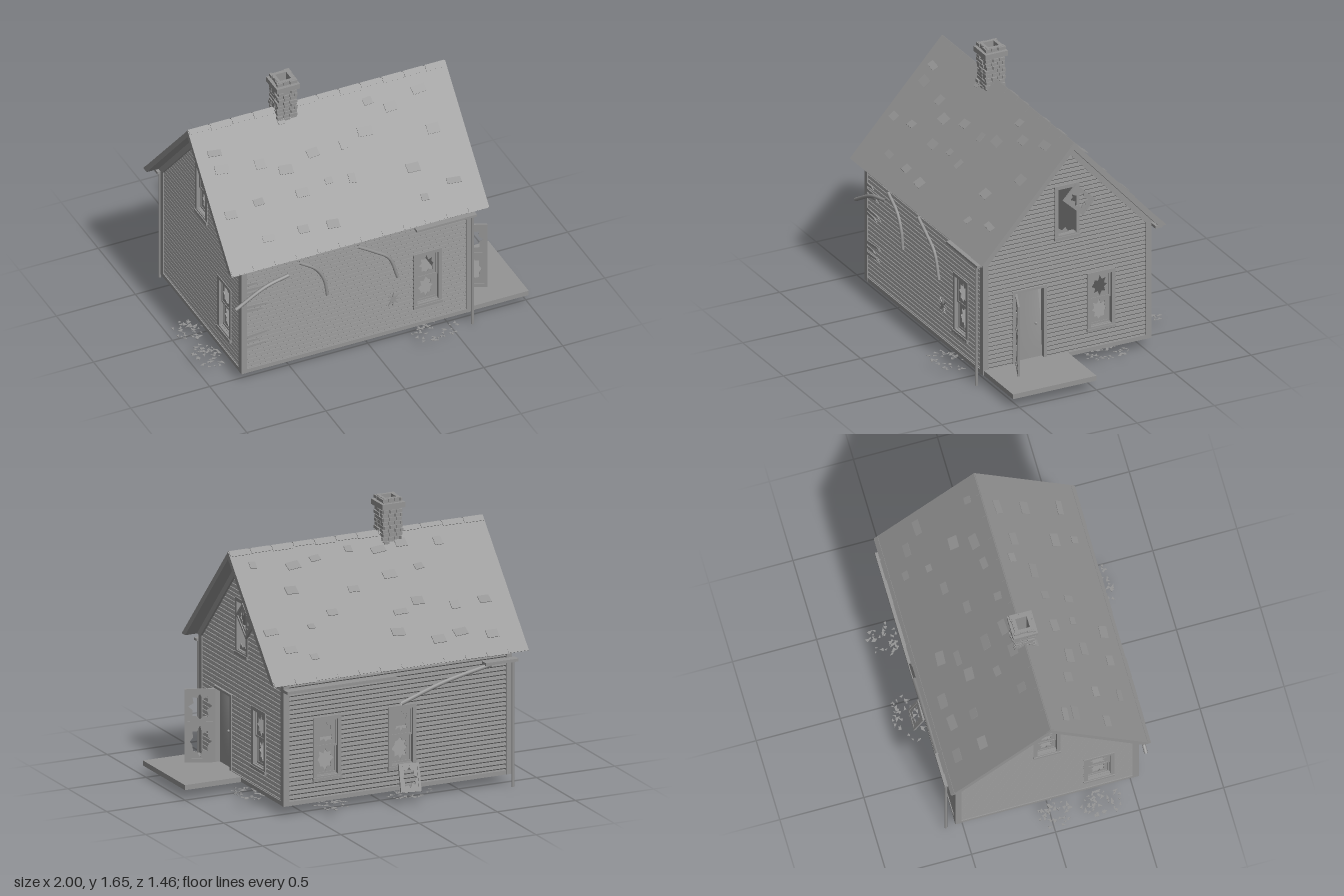
import * as THREE from 'three';
import { mergeGeometries } from 'three/addons/utils/BufferGeometryUtils.js';

const grey = new THREE.MeshStandardMaterial({ color: 0x949494, side: THREE.DoubleSide });
grey.name = 'weathered grey';

let seed = 11;
const rnd = (a = 0, b = 1) => {
  seed = (seed * 16807) % 2147483647;
  return a + (b - a) * seed / 2147483647;
};
const mesh = (name, geo, parent) => {
  const m = new THREE.Mesh(geo, grey);
  m.name = name;
  parent.add(m);
  return m;
};
const box = (x0, x1, y0, y1, z0, z1) =>
  new THREE.BoxGeometry(x1 - x0, y1 - y0, z1 - z0).translate((x0 + x1) / 2, (y0 + y1) / 2, (z0 + z1) / 2);
const poly = (pts) => new THREE.Shape(pts.map((p) => new THREE.Vector2(p[0], p[1])));
const rect = (x0, x1, y0, y1) => poly([[x0, y0], [x1, y0], [x1, y1], [x0, y1]]);
const plate = (shape, holes, z, depth) => {
  shape.holes.push(...holes);
  return new THREE.ExtrudeGeometry(shape, { depth, bevelEnabled: false }).translate(0, 0, z);
};
const frame = (x0, x1, y0, y1, w, z, depth) =>
  plate(rect(x0, x1, y0, y1), [rect(x0 + w, x1 - w, y0 + w, y1 - w)], z, depth);

// Glass pane with a jagged hole
function brokenPane(x0, x1, y0, y1, z) {
  const pts = [];
  for (let i = 0; i < 16; i++) {
    const a = i / 16 * Math.PI * 2, r = i % 2 ? rnd(0.45, 0.7) : rnd(0.75, 0.94);
    pts.push([(x0 + x1) / 2 + Math.cos(a) * r * (x1 - x0) / 2, (y0 + y1) / 2 + Math.sin(a) * r * (y1 - y0) / 2]);
  }
  return plate(rect(x0, x1, y0, y1), [poly(pts)], z, 0.004);
}

// Two-pane window with casing, sill and broken glass
function addWindow(wall, [u0, u1, v0, v1], glazed = true) {
  const g = new THREE.Group();
  g.name = 'window';
  wall.add(g);
  const mid = (v0 + v1) / 2;
  mesh('casing', frame(u0 - 0.02, u1 + 0.02, v0 - 0.025, v1 + 0.02, 0.022, -0.02, 0.036), g);
  mesh('sill', box(u0 - 0.022, u1 + 0.022, v0 - 0.03, v0 - 0.012, 0, 0.022), g);
  if (glazed) {
    mesh('upperSash', frame(u0, u1, mid, v1, 0.012, -0.012, 0.012), g);
    mesh('lowerSash', frame(u0, u1, v0, mid + 0.01, 0.012, -0.022, 0.012), g);
    mesh('upperGlass', brokenPane(u0 + 0.01, u1 - 0.01, mid + 0.01, v1 - 0.01, -0.008), g);
    mesh('lowerGlass', brokenPane(u0 + 0.01, u1 - 0.01, v0 + 0.01, mid, -0.018), g);
  }
}

// Wall with openings, covered by rows of bevelled boards
function addWall(house, name, W, gable, openings, pos, rotY) {
  const g = new THREE.Group();
  g.name = name;
  g.position.set(...pos);
  g.rotation.y = rotY;
  house.add(g);
  const half = (v) => (v < 0.8 ? W : Math.min(W, (1.41 - v) * 0.91));
  const outline = [[-W, 0.06], [W, 0.06], [W, 0.81]];
  if (gable) outline.push([0, 1.41]);
  outline.push([-W, 0.81]);
  mesh('sheathing', plate(poly(outline), openings.map((o) => rect(...o)), -0.02, 0.02), g);
  const boards = [], p = 0.0268, top = gable ? 1.38 : 0.8;
  for (let v = 0.063; v < top; v += p) {
    const m = v + p / 2, h = half(m);
    const cuts = openings.filter((o) => m > o[2] - 0.01 && m < o[3] + 0.01).sort((a, b) => a[0] - b[0]);
    let u = -h;
    for (const [a, b] of [...cuts, [h, h]]) {
      if (a - u > 0.004) {
        const s = poly([[0, v], [-0.011, v + 0.009], [-0.008, v + p], [0, v + p]]);
        boards.push(new THREE.ExtrudeGeometry(s, { depth: a - u, bevelEnabled: false })
          .rotateY(Math.PI / 2).translate(u, 0, 0));
      }
      u = b;
    }
  }
  mesh('clapboards', mergeGeometries(boards), g);
  for (const s of [-1, 1]) mesh('cornerBoard', box(s * W - 0.018, s * W + 0.018, 0.06, 0.8, -0.018, 0.016), g);
  mesh('skirtBoard', box(-W, W, 0.06, 0.078, 0, 0.015), g);
  return g;
}

const tube = (name, pts, r, parent) => mesh(name, new THREE.TubeGeometry(
  new THREE.CatmullRomCurve3(pts.map((p) => new THREE.Vector3(...p))), 14, r, 8), parent);

export function createModel() {
  const house = new THREE.Group();
  house.name = 'house';

  // Floor and porch
  mesh('floor', box(-0.82, 0.64, 0.06, 0.085, -0.545, 0.545), house);
  mesh('porch', box(0.64, 1, 0.06, 0.09, 0, 0.54), house);

  // Walls and windows
  const frontWin = [0.38, 0.52, 0.215, 0.545];
  const backWins = [[-0.52, -0.38, 0.215, 0.545], [-0.04, 0.1, 0.215, 0.545]];
  const front = addWall(house, 'frontWall', 0.712, false, [frontWin], [-0.09, 0, 0.53], 0);
  addWindow(front, frontWin);
  const back = addWall(house, 'backWall', 0.712, false, backWins, [-0.09, 0, -0.53], Math.PI);
  backWins.forEach((w) => addWindow(back, w));

  const attic = [-0.06, 0.06, 0.84, 1.13], low = [0.15, 0.29, 0.215, 0.535], doorway = [-0.33, -0.15, 0.088, 0.53];
  const doorEnd = addWall(house, 'doorGable', 0.527, true, [attic, low, doorway], [0.625, 0, 0], Math.PI / 2);
  addWindow(doorEnd, low);
  addWindow(doorEnd, attic, false);
  mesh('atticGlassRemnant', poly2([[-0.06, 0.84], [0.02, 0.84], [0, 0.87], [-0.02, 0.855], [-0.05, 0.875]]), doorEnd);
  const farWin = [0.24, 0.38, 0.215, 0.535];
  const farEnd = addWall(house, 'farGable', 0.527, true, [attic, farWin], [-0.805, 0, 0], -Math.PI / 2);
  addWindow(farEnd, attic);
  addWindow(farEnd, farWin);

  // Attic sash hanging crooked
  const loose = new THREE.Group();
  loose.name = 'hangingSash';
  loose.position.set(0.07, 1.045, 0.02);
  loose.rotation.z = 0.82;
  doorEnd.add(loose);
  mesh('sashFrame', frame(-0.06, 0.06, -0.085, 0.085, 0.014, 0, 0.014), loose);
  mesh('sashGlass', brokenPane(-0.05, 0.05, -0.075, 0.075, 0.005), loose);

  // Doorway trim, warped inner door and knob
  mesh('doorCasing', plate(rect(-0.35, -0.13, 0.088, 0.545), [rect(-0.33, -0.15, 0.09, 0.53)], -0.02, 0.036), doorEnd);
  const inner = new THREE.PlaneGeometry(0.18, 0.44, 8, 8);
  const ip = inner.attributes.position;
  for (let i = 0; i < ip.count; i++) {
    const x = ip.getX(i) / 0.18 + 0.5, y = ip.getY(i) / 0.44 + 0.5;
    ip.setZ(i, -0.06 * x * x * y * y);
  }
  inner.computeVertexNormals();
  mesh('innerDoor', inner.translate(-0.24, 0.309, -0.012), doorEnd);
  mesh('doorKnob', new THREE.SphereGeometry(0.008, 10, 8).translate(-0.195, 0.31, 0), doorEnd);

  // Open screen door
  const door = new THREE.Group();
  door.name = 'screenDoor';
  door.position.set(0.64, 0.09, 0.33);
  door.rotation.y = -0.4;
  house.add(door);
  mesh('doorFrame', plate(rect(0, 0.178, 0, 0.44),
    [rect(0.016, 0.162, 0.025, 0.225), rect(0.016, 0.162, 0.245, 0.425)], -0.006, 0.012), door);
  mesh('lowerScreen', brokenPane(0.014, 0.164, 0.02, 0.23, -0.002), door);
  mesh('upperScreen', brokenPane(0.014, 0.164, 0.24, 0.43, -0.002), door);

  // Roof
  const section = poly([[-0.595, 0.8], [-0.55, 0.8], [0, 1.405], [0.55, 0.8], [0.595, 0.8], [0, 1.45]]);
  mesh('roof', new THREE.ExtrudeGeometry(section, { depth: 1.63, bevelEnabled: false })
    .rotateY(Math.PI / 2).translate(-0.905, 0, 0), house);
  for (const [x0, x1] of [[0.636, 0.65], [-0.83, -0.816]]) {
    const rake = poly([[-0.555, 0.8], [-0.505, 0.8], [0, 1.355], [0.505, 0.8], [0.555, 0.8], [0, 1.41]]);
    mesh('rakeBoards', new THREE.ExtrudeGeometry(rake, { depth: x1 - x0, bevelEnabled: false })
      .rotateY(Math.PI / 2).translate(x0, 0, 0), house);
  }

  // Lifted shingles, ridge and eave strips on both slopes
  for (const s of [1, -1]) {
    const side = new THREE.Group(), slope = new THREE.Group();
    side.name = s > 0 ? 'frontSlope' : 'backSlope';
    side.rotation.y = s > 0 ? 0 : Math.PI;
    slope.position.set(-0.09 * s, 1.45, 0);
    slope.rotation.x = Math.atan2(0.65, 0.595);
    side.add(slope);
    house.add(side);
    const parts = [];
    for (let i = 0; i < 8; i++) for (let j = 0; j < 4; j++) {
      if (rnd() < 0.25) continue;
      const w = rnd(0.04, 0.09), d = rnd(0.035, 0.06);
      parts.push(box(-w / 2, w / 2, 0, 0.004, 0, d).rotateX(-rnd(0.08, 0.32)).rotateY(rnd(-0.12, 0.12))
        .translate(-0.68 + i * 0.19 + rnd(-0.05, 0.05), -0.001, 0.1 + j * 0.19 + rnd(-0.05, 0.05)));
    }
    for (let i = 0; i < 12; i++) {
      const x = -0.81 + i * 0.136;
      parts.push(box(x, x + 0.125, 0, 0.004, 0, rnd(0.025, 0.04)));
      parts.push(box(x, x + 0.125, -0.002, 0.003, 0.85, rnd(0.875, 0.885)));
    }
    mesh('shingles', mergeGeometries(parts), slope);
  }

  // Brick chimney
  const chimney = new THREE.Group();
  chimney.name = 'chimney';
  chimney.position.set(-0.3, 0, 0);
  house.add(chimney);
  const ring = (r, y0, y1) => frame(-r, r, -r, r, r - 0.034, 0, y1 - y0).rotateX(-Math.PI / 2).translate(0, y0, 0);
  mesh('stack', ring(0.053, 1.36, 1.648), chimney);
  mesh('cap', ring(0.073, 1.588, 1.62), chimney);
  const bricks = [];
  for (let r = 0; r < 12; r++) {
    if (r === 9 || r === 10) continue;
    for (let k = 0; k < 4; k++) for (let j = 0; j < 3; j++) {
      const a = -0.057 + j * 0.04 - (r % 2) * 0.008, y = 1.375 + r * 0.023;
      bricks.push(box(a, a + 0.034, y, y + 0.018, 0.045, rnd(0.056, 0.066)).rotateY(k * Math.PI / 2));
    }
  }
  mesh('bricks', mergeGeometries(bricks), chimney);

  // Gutters and downspouts
  mesh('frontGutter', box(0.27, 0.65, 0.753, 0.767, 0.555, 0.59), house);
  mesh('backGutter', box(-0.05, 0.65, 0.75, 0.767, -0.612, -0.565), house);
  mesh('backGutterEnd', box(-0.83, -0.62, 0.75, 0.767, -0.612, -0.565), house);
  tube('frontDownspout', [[0.625, 0.76, 0.58], [0.625, 0.4, 0.58], [0.625, 0, 0.58]], 0.009, house);
  tube('backDownspout', [[-0.8, 0.76, -0.597], [-0.8, 0.4, -0.597], [-0.8, 0, -0.597]], 0.009, house);
  tube('fallenBackGutter', [[-0.66, 0.75, -0.595], [-0.35, 0.68, -0.59], [-0.09, 0.59, -0.585]], 0.013, house);
  tube('brokenGutter', [[-0.47, 0.76, 0.575], [-0.36, 0.68, 0.575], [-0.31, 0.59, 0.575], [-0.29, 0.48, 0.575]], 0.01, house);
  tube('brokenGutter', [[-0.1, 0.76, 0.575], [0.01, 0.69, 0.575], [0.1, 0.62, 0.575], [0.155, 0.47, 0.575]], 0.01, house);
  tube('brokenGutter', [[-0.53, 0.68, 0.56], [-0.68, 0.65, 0.57], [-0.87, 0.55, 0.575]], 0.011, house);

  // Splintered boards on the front
  const splinters = [];
  for (const y of [0.675, 0.64, 0.61, 0.52, 0.495, 0.31, 0.28, 0.24]) {
    const l = rnd(0.07, 0.19);
    splinters.push(plate(poly([[0, -0.009], [l, -0.004], [l * 0.7, 0.002], [l * 0.9, 0.006], [0, 0.009]]), [], 0, 0.006)
      .rotateZ(rnd(-0.08, 0.12)).translate(-0.785, y, 0.541));
  }
  for (let i = 0; i < 8; i++) {
    splinters.push(plate(poly([[0, -0.009], [0.05, 0], [0, 0.009]]), [], 0, 0.006)
      .rotateZ(i * 0.785 + rnd(-0.2, 0.2)).translate(0.14, 0.295, 0.541));
  }
  mesh('splinteredBoards', mergeGeometries(splinters), house);

  // Sash leaning on the back wall
  const fallen = new THREE.Group();
  fallen.name = 'leaningSash';
  fallen.position.set(-0.14, 0.062, -0.615);
  fallen.rotation.set(0.33, 0, 0.06);
  house.add(fallen);
  mesh('sashFrame', frame(-0.065, 0.065, 0, 0.165, 0.014, -0.006, 0.012), fallen);
  mesh('sashGlass', brokenPane(-0.055, 0.055, 0.01, 0.155, -0.002), fallen);

  // Glass shards scattered below the windows
  const shards = [];
  for (const [cx, cz, rx, rz] of [[0.36, 0.63, 0.15, 0.09], [0.37, -0.64, 0.11, 0.09], [-0.13, -0.64, 0.15, 0.09],
    [-0.91, 0.02, 0.09, 0.11], [-0.91, 0.3, 0.09, 0.12], [0.7, -0.22, 0.08, 0.15]]) {
    for (let i = 0; i < 42; i++) {
      const a = rnd(0, 6.283), r = Math.sqrt(rnd(0.08, 1)), s = rnd(0.008, 0.018);
      shards.push(plate(poly([[-s, -s * 0.6], [s, -s * 0.3], [s * 0.3, s * 0.7]]), [], 0, 0.002)
        .rotateZ(rnd(0, 6.28)).rotateX(-Math.PI / 2)
        .translate(cx + Math.cos(a) * r * rx, 0.06, cz + Math.sin(a) * r * rz));
    }
  }
  mesh('glassShards', mergeGeometries(shards), house);
  return house;
}

// Thin flat plate from an outline
function poly2(pts) {
  return plate(poly(pts), [], -0.01, 0.004);
}
